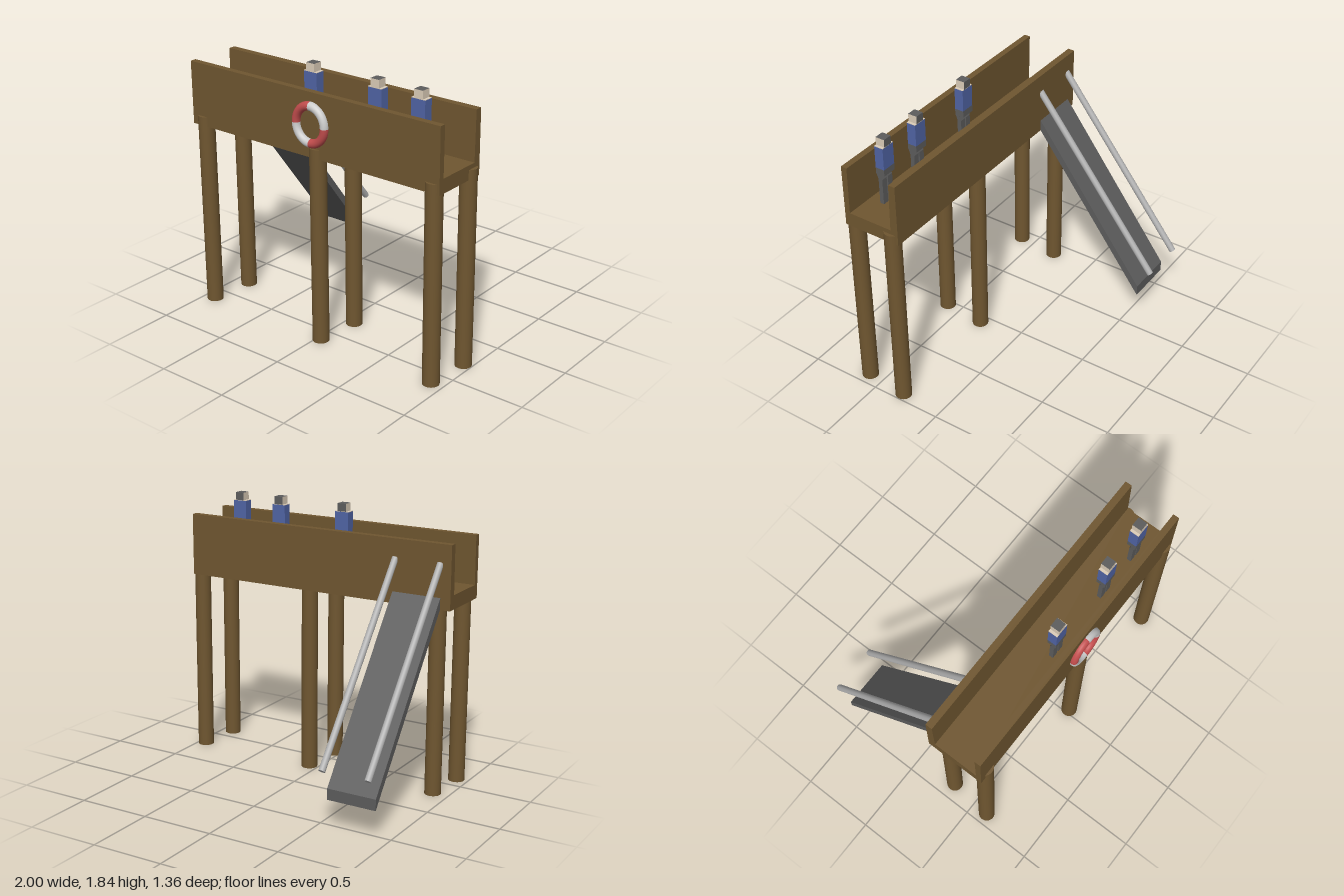
import * as THREE from 'three';

const mat = (color) => new THREE.MeshStandardMaterial({ color });
const wood = mat(0x6f5630);
const darkGrey = mat(0x5c5c5c);
const railGrey = mat(0xb0b0b0);
const red = mat(0xc04c4c);
const white = mat(0xf2f2f2);
const blue = mat(0x5064a4);
const skin = mat(0xdccdb8);

function add(parent, name, geometry, material, x = 0, y = 0, z = 0) {
  const mesh = new THREE.Mesh(geometry, material);
  mesh.name = name;
  mesh.position.set(x, y, z);
  parent.add(mesh);
  return mesh;
}

function box(parent, name, material, w, h, d, x, y, z) {
  return add(parent, name, new THREE.BoxGeometry(w, h, d), material, x, y, z);
}

// Extrudes a [z, y] side profile along x from x0 to x1
function sideExtrude(points, x0, x1) {
  const shape = new THREE.Shape(points.map(([z, y]) => new THREE.Vector2(-z, y)));
  const geometry = new THREE.ExtrudeGeometry(shape, { depth: x1 - x0, bevelEnabled: false });
  return geometry.rotateY(Math.PI / 2).translate(x0, 0, 0);
}

// Round bar between two points
function bar(parent, name, material, a, b, radius) {
  const dir = b.clone().sub(a);
  const mid = a.clone().add(b).multiplyScalar(0.5);
  const geometry = new THREE.CylinderGeometry(radius, radius, dir.length(), 24);
  const mesh = add(parent, name, geometry, material, mid.x, mid.y, mid.z);
  mesh.quaternion.setFromUnitVectors(new THREE.Vector3(0, 1, 0), dir.normalize());
}

function createFigure(x) {
  const figure = new THREE.Group();
  figure.name = 'figure';
  figure.position.set(x, 0, 0.504);

  // Trousers with slightly bent legs
  box(figure, 'hips', darkGrey, 0.1, 0.045, 0.064, 0, 1.607, 0);
  const leg = [
    [0.03, 1.59], [0.026, 1.57], [0.018, 1.55], [0.018, 1.368],
    [-0.011, 1.368], [-0.011, 1.55], [0.001, 1.58], [0.001, 1.59],
  ];
  for (const s of [-1, 1]) {
    add(figure, 'leg', sideExtrude(leg, s * 0.027 - 0.021, s * 0.027 + 0.021), darkGrey);
  }

  // Shirt, shoulders and head with hair on the top and back
  box(figure, 'torso', blue, 0.1, 0.152, 0.064, 0, 1.705, 0);
  box(figure, 'shoulders', skin, 0.1, 0.003, 0.064, 0, 1.7825, 0);
  const headFaces = [skin, skin, darkGrey, skin, skin, darkGrey];
  box(figure, 'head', headFaces, 0.064, 0.054, 0.064, 0, 1.81, 0);
  return figure;
}

export function createModel() {
  const model = new THREE.Group();
  model.name = 'slideTower';

  // Trough-shaped platform with two side walls
  const trough = [
    [0.645, 1.275], [0.645, 1.7], [0.602, 1.7], [0.607, 1.37],
    [0.293, 1.37], [0.287, 1.7], [0.24, 1.7], [0.24, 1.275],
  ];
  add(model, 'platform', sideExtrude(trough, -1, 0.973), wood);

  // Two rows of posts, the rear one shifted sideways
  const postGeometry = new THREE.CylinderGeometry(0.055, 0.055, 1.34, 32);
  for (const x of [-0.918, 0.034, 0.912]) {
    add(model, 'frontPost', postGeometry, wood, x, 0.67, 0.61);
    add(model, 'rearPost', postGeometry, wood, x + 0.03, 0.67, 0.305);
  }

  // Slide and its handrails
  const slide = [[0.26, 1.379], [0.26, 1.302], [-0.575, 0.203], [-0.575, 0.278]];
  add(model, 'slide', sideExtrude(slide, -0.93, -0.59), darkGrey);
  for (const x of [-0.92, -0.602]) {
    bar(model, 'handrail', railGrey,
      new THREE.Vector3(x, 1.572, 0.25), new THREE.Vector3(x, 0.422, -0.662), 0.022);
  }

  // Lifebuoy in four quarters of alternating colour
  const lifebuoy = new THREE.Group();
  lifebuoy.name = 'lifebuoy';
  lifebuoy.position.set(0.013, 1.493, 0.653);
  lifebuoy.scale.x = 0.93;
  const quarter = new THREE.TorusGeometry(0.12, 0.029, 20, 16, Math.PI / 2);
  for (let i = 0; i < 4; i++) {
    const part = add(lifebuoy, 'lifebuoyQuarter', quarter, i % 2 ? red : white);
    part.rotation.z = i * Math.PI / 2;
  }
  model.add(lifebuoy);

  // Figures standing on the platform
  for (const x of [-0.08, 0.417, 0.735]) model.add(createFigure(x));

  return model;
}
